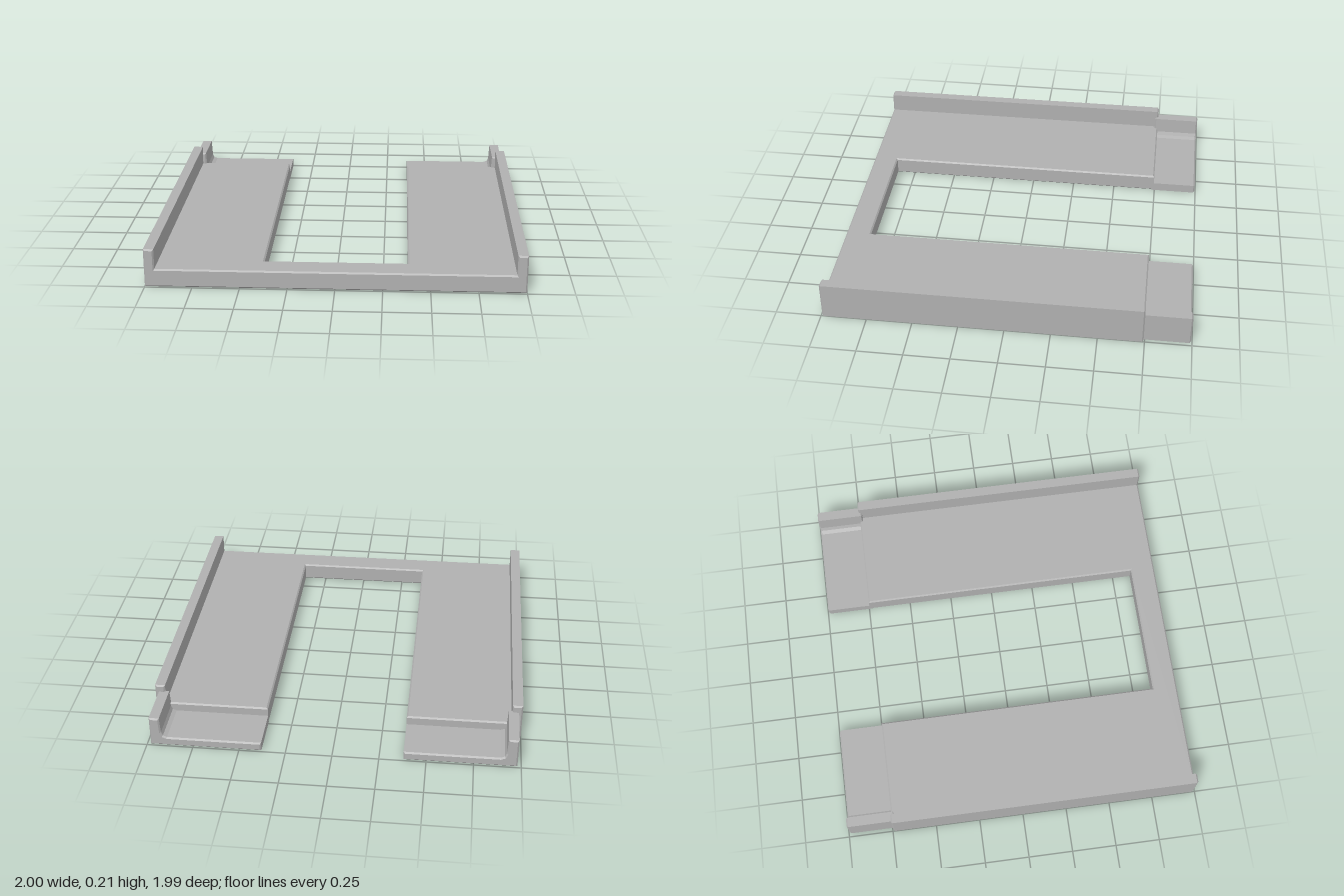
import * as THREE from 'three';

const BEVEL = 0.008;

// Extrudes an outline from 0 to depth along z, with small chamfers kept inside the outline
function chamferedExtrude(points, depth) {
  const shape = new THREE.Shape(points.map(([x, y]) => new THREE.Vector2(x, y)));
  const geometry = new THREE.ExtrudeGeometry(shape, {
    depth: depth - 2 * BEVEL,
    bevelThickness: BEVEL,
    bevelSize: BEVEL,
    bevelOffset: -BEVEL,
    bevelSegments: 1,
  });
  return geometry.translate(0, 0, BEVEL);
}

export function createModel() {
  const group = new THREE.Group();
  const grey = new THREE.MeshStandardMaterial({ color: 0xb0b0b0 });
  grey.name = 'grey';

  const add = (name, geometry) => {
    const mesh = new THREE.Mesh(geometry, grey);
    mesh.name = name;
    group.add(mesh);
  };

  // U-shaped deck, drawn in plan (second value is -z) and laid flat
  const deck = chamferedExtrude([
    [-0.955, -0.995], [0.955, -0.995], [0.955, 0.745], [0.38, 0.745],
    [0.38, -0.855], [-0.38, -0.855], [-0.38, 0.745], [-0.955, 0.745],
  ], 0.1);
  add('deck', deck.rotateX(-Math.PI / 2));

  for (const [side, s] of [['left', 1], ['right', -1]]) {
    // Tall rail along the outer edge
    const rail = chamferedExtrude([
      [0.945 * s, 0], [s, 0], [s, 0.21], [0.945 * s, 0.21],
    ], 1.74);
    add(side + 'Rail', rail.translate(0, 0, -0.745));

    // Thin rear tongue with an upturned lip and a filleted inner corner
    const profile = [
      [0.38, 0], [0.98, 0], [0.98, 0.17], [0.925, 0.17],
      [0.92, 0.08], [0.911, 0.059], [0.89, 0.05], [0.38, 0.05],
    ].map(([x, y]) => [x * s, y]);
    add(side + 'Tongue', chamferedExtrude(profile, 0.27).translate(0, 0, -0.995));
  }
  return group;
}
